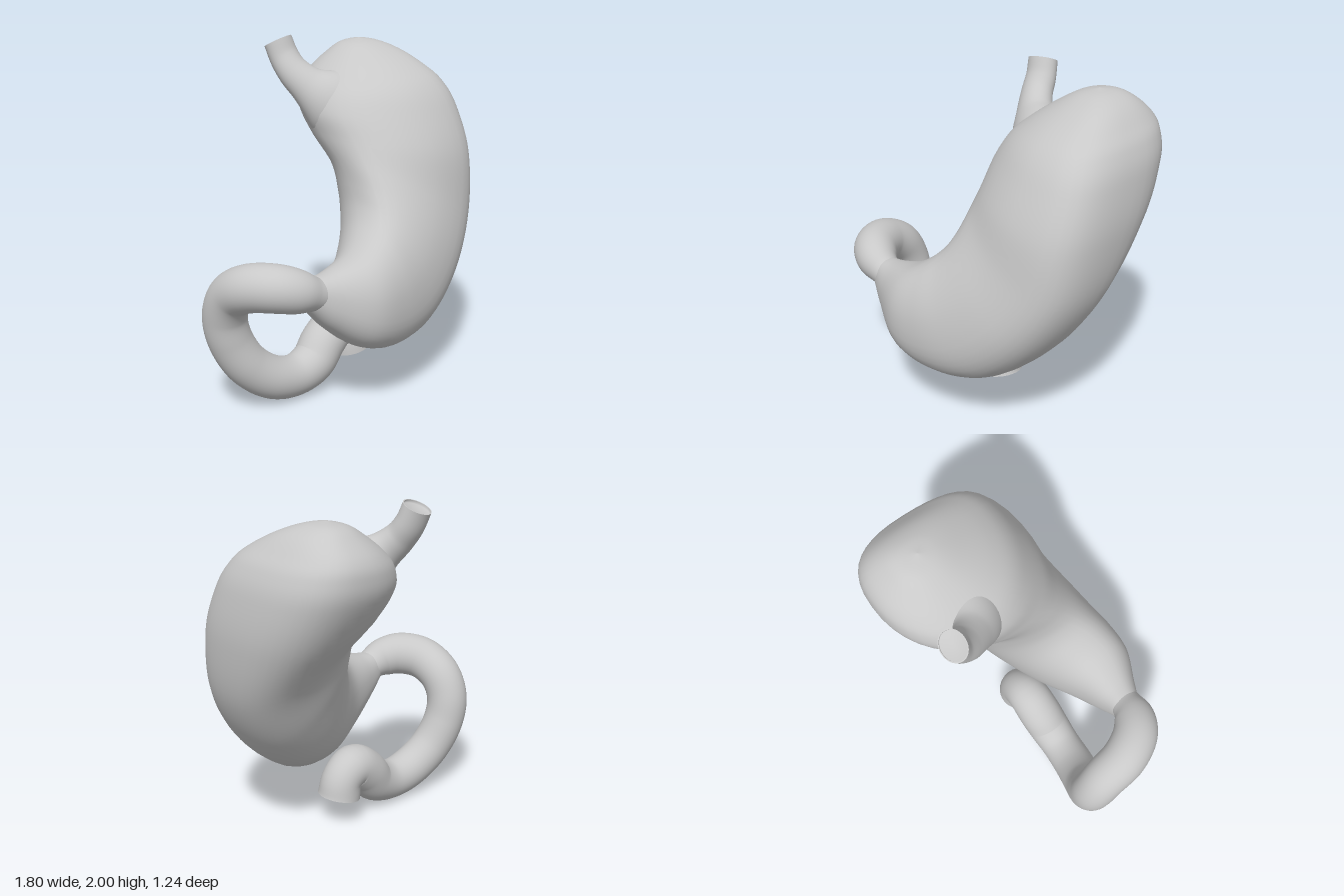
import * as THREE from 'three';

const V = (x, y, z) => new THREE.Vector3(x, y, z);
const SIDES = 40;

// Skin a list of rings (arrays of SIDES points, counter-clockwise about the path)
function skin(rings) {
  const pos = [], idx = [];
  rings.forEach((ring) => ring.forEach((p) => pos.push(p.x, p.y, p.z)));
  for (let i = 0; i < rings.length - 1; i++) {
    for (let j = 0; j < SIDES; j++) {
      const k = (j + 1) % SIDES;
      const a = i * SIDES + j, b = i * SIDES + k, c = a + SIDES, d = b + SIDES;
      idx.push(a, b, c, b, d, c);
    }
  }
  const g = new THREE.BufferGeometry();
  g.setAttribute('position', new THREE.Float32BufferAttribute(pos, 3));
  g.setIndex(idx);
  g.computeVertexNormals();
  return g;
}

// Organ body: each section is [inner x, y, outer x, y, centre z, half depth,
// front bow, back bow], where bow shifts that half of the section outward
function bodyGeometry(sections, steps) {
  const spline = (f) => new THREE.CatmullRomCurve3(sections.map(f), false, 'catmullrom', 0.5);
  const inner = spline((s) => V(s[0], s[1], s[4]));
  const outer = spline((s) => V(s[2], s[3], s[4]));
  const shape = spline((s) => V(s[5], s[6], s[7]));
  const soft = (n) => Math.sign(n) * Math.abs(n) ** 0.88;
  const rings = [];
  for (let i = 0; i <= steps; i++) {
    const t = i / steps;
    const a = inner.getPoint(t), b = outer.getPoint(t), s = shape.getPoint(t);
    const c = a.clone().add(b).multiplyScalar(0.5);
    const u = b.clone().sub(c);
    rings.push(Array.from({ length: SIDES }, (_, j) => {
      const w = (j / SIDES) * Math.PI * 2;
      const sin = Math.sin(w);
      const bow = (sin < 0 ? s.y : s.z) * sin * sin;
      return c.clone().addScaledVector(u, soft(Math.cos(w)) + bow).add(V(0, 0, -s.x * soft(sin)));
    }));
  }
  return skin(rings);
}

// Tube of changing radius with a cut, hollow end: each point is [x, y, z, radius];
// squash narrows its cross-section along z
function hollowTube(name, points, steps, wall, squash, material) {
  const curve = new THREE.CatmullRomCurve3(points.map((p) => V(p[0], p[1], p[2])));
  const radius = new THREE.CatmullRomCurve3(points.map((p, i) => V(p[3], i, 0)), false, 'catmullrom', 0.5);
  const frames = curve.computeFrenetFrames(steps);
  const ringAt = (i, scale) => {
    const c = curve.getPointAt(i / steps);
    const r = radius.getPoint(curve.getUtoTmapping(i / steps)).x * scale;
    return Array.from({ length: SIDES }, (_, j) => {
      const w = (j / SIDES) * Math.PI * 2;
      const offset = V(0, 0, 0)
        .addScaledVector(frames.normals[i], Math.cos(w) * r)
        .addScaledVector(frames.binormals[i], Math.sin(w) * r);
      offset.z *= squash;
      return offset.add(c);
    });
  };
  const outside = [], lining = [];
  for (let i = 0; i <= steps; i++) outside.push(ringAt(i, 1));
  const deep = Math.round(steps * 0.965);
  for (let i = steps; i >= deep; i--) lining.push(ringAt(i, wall));
  lining.push(ringAt(deep, 0));
  const group = new THREE.Group();
  group.name = name;
  const parts = { Wall: outside, Rim: [ringAt(steps, 1), ringAt(steps, wall)], Lining: lining };
  for (const [part, rings] of Object.entries(parts)) {
    const mesh = new THREE.Mesh(skin(rings), material);
    mesh.name = name + part;
    group.add(mesh);
  }
  return group;
}

export function createModel() {
  const model = new THREE.Group();
  model.name = 'stomach';
  const tissue = new THREE.MeshStandardMaterial({ color: 0xc8c8c8 });
  tissue.name = 'tissueGrey';

  // Main sac, from the narrow outlet to the domed top
  const body = new THREE.Mesh(bodyGeometry([
    [-0.50, 0.84, -0.55, 0.67, 0.37, 0.08, 0, 0],
    [-0.38, 0.86, -0.43, 0.54, 0.385, 0.13, 0.05, 0],
    [-0.21, 0.92, -0.22, 0.385, 0.395, 0.215, 0.1, 0],
    [-0.08, 1.01, 0.05, 0.32, 0.335, 0.28, 0.12, 0],
    [-0.01, 1.10, 0.36, 0.385, 0.26, 0.32, 0.15, 0],
    [0.02, 1.20, 0.64, 0.62, 0.18, 0.345, 0.2, 0.03],
    [0.03, 1.32, 0.83, 0.94, 0.09, 0.36, 0.25, 0.06],
    [0.03, 1.45, 0.895, 1.30, -0.045, 0.435, 0.28, 0.1],
    [0.03, 1.58, 0.88, 1.58, -0.155, 0.445, 0.3, 0.15],
    [0.08, 1.69, 0.835, 1.73, -0.21, 0.41, 0.28, 0.17],
    [0.17, 1.78, 0.77, 1.82, -0.25, 0.34, 0.25, 0.18],
    [0.29, 1.87, 0.69, 1.90, -0.285, 0.22, 0.2, 0.15],
    [0.39, 1.93, 0.60, 1.945, -0.31, 0.115, 0.1, 0.1],
    [0.50, 1.96, 0.50, 1.96, -0.31, 0, 0, 0],
  ], 90), tissue);
  body.name = 'stomachBody';
  model.add(body);

  // Inlet pipe, flaring where it meets the sac
  model.add(hollowTube('inletPipe', [
    [0.29, 1.55, -0.19, 0.26],
    [0.16, 1.64, -0.23, 0.19],
    [0.07, 1.72, -0.29, 0.12],
    [0.017, 1.80, -0.36, 0.098],
    [-0.003, 1.88, -0.415, 0.093],
    [-0.02, 1.972, -0.45, 0.091],
  ], 40, 0.93, 0.78, tissue));

  // Outlet gut: narrow valve, bulb, C-shaped loop and downturned open end
  model.add(hollowTube('outletGut', [
    [-0.42, 0.73, 0.38, 0.085],
    [-0.51, 0.757, 0.375, 0.095],
    [-0.60, 0.788, 0.355, 0.12],
    [-0.69, 0.81, 0.29, 0.131],
    [-0.76, 0.795, 0.16, 0.132],
    [-0.775, 0.72, 0.02, 0.128],
    [-0.772, 0.59, -0.05, 0.125],
    [-0.74, 0.44, -0.055, 0.125],
    [-0.65, 0.27, -0.02, 0.125],
    [-0.50, 0.155, 0.02, 0.125],
    [-0.34, 0.125, 0.035, 0.122],
    [-0.20, 0.17, 0.035, 0.13],
    [-0.11, 0.265, 0.025, 0.133],
    [-0.005, 0.33, 0.02, 0.128],
    [0.085, 0.275, 0.02, 0.12],
    [0.105, 0.175, 0.025, 0.128],
  ], 110, 0.76, 1, tissue));

  return model;
}
